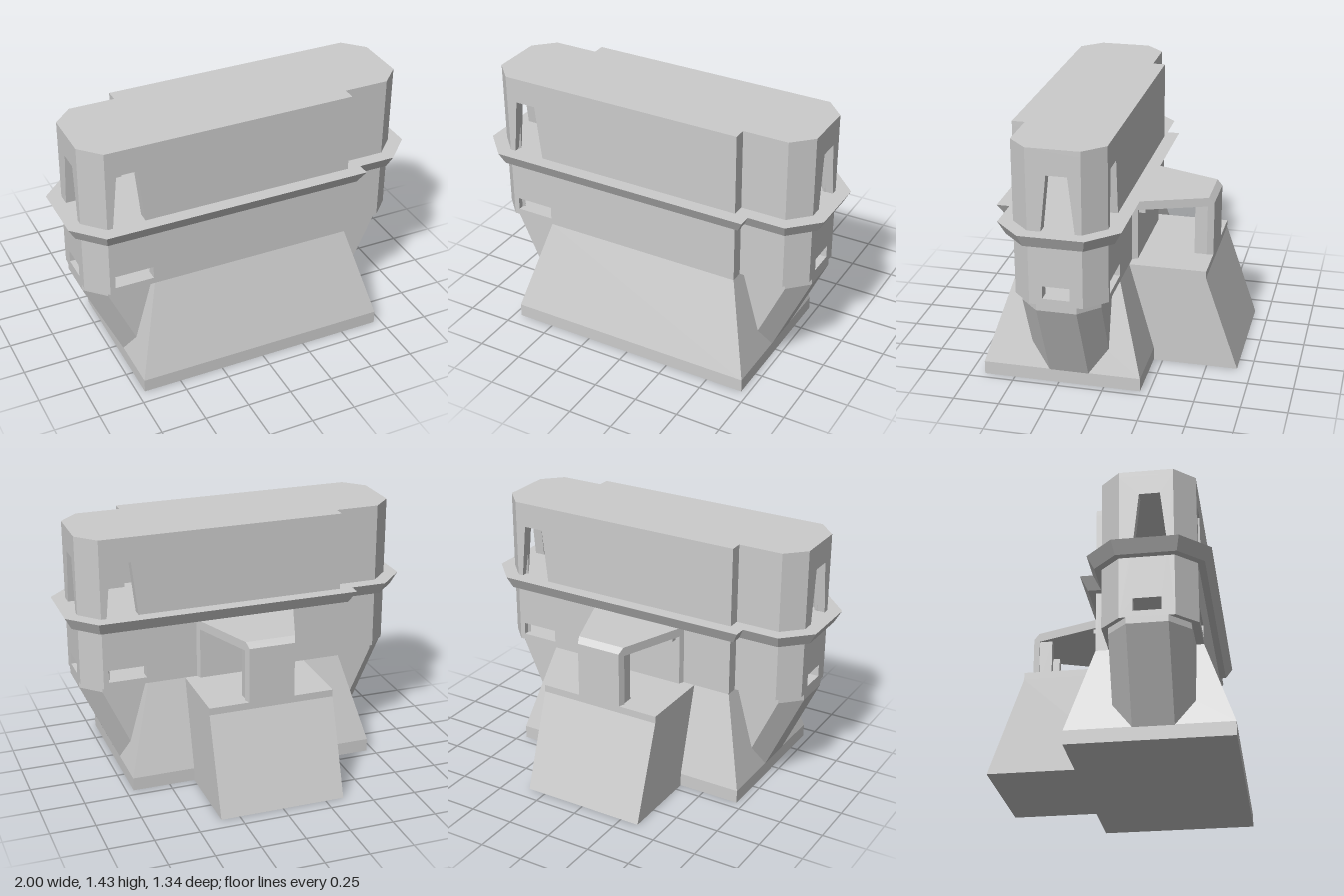
import * as THREE from 'three';

const material = new THREE.MeshStandardMaterial({ color: 0xcccccc, flatShading: true });

function add(parent, name, geometry) {
  const mesh = new THREE.Mesh(geometry, material);
  mesh.name = name;
  parent.add(mesh);
  return mesh;
}

// Closed solid through stacked plan outlines; each level is [y, [[x, z], ...]]
function loft(levels) {
  const pos = [];
  const at = (l, i) => {
    const pts = levels[l][1], p = pts[i % pts.length];
    return [p[0], levels[l][0], p[1]];
  };
  const n = levels[0][1].length;
  for (let l = 0; l + 1 < levels.length; l++) {
    for (let i = 0; i < n; i++) {
      const a = at(l, i), b = at(l, i + 1), c = at(l + 1, i + 1), d = at(l + 1, i);
      pos.push(...a, ...d, ...c, ...a, ...c, ...b);
    }
  }
  for (const [l, up] of [[0, false], [levels.length - 1, true]]) {
    const flat = levels[l][1].map(([x, z]) => new THREE.Vector2(x, z));
    for (const [i, j, k] of THREE.ShapeUtils.triangulateShape(flat, [])) {
      const p = at(l, i), q = at(l, j), r = at(l, k);
      const ny = (q[2] - p[2]) * (r[0] - p[0]) - (q[0] - p[0]) * (r[2] - p[2]);
      if (ny > 0 === up) pos.push(...p, ...q, ...r);
      else pos.push(...p, ...r, ...q);
    }
  }
  const g = new THREE.BufferGeometry();
  g.setAttribute('position', new THREE.Float32BufferAttribute(pos, 3));
  g.computeVertexNormals();
  return g;
}

const rect = (x, z0, z1) => [[x, z0], [x, z1], [-x, z1], [-x, z0]];

// Plan of the upper storeys, grown by d; the second half is the first turned 180 degrees
function outline(d) {
  const t = d * 0.414;
  const half = [
    [0.82 + t, -0.06 - d], [0.925 + d, 0.05 - t], [0.925 + d, 0.335 + t],
    [0.82 + t, 0.44 + d], [0.57 + d, 0.44 + d], [0.57 + d, 0.51 + d],
  ];
  return [...half, ...half.map(([x, z]) => [-x, 0.45 - z])];
}

const Y0 = 0.575, Y1 = 1.43, WALL = 0.06;

// Openings by wall index: tall tapered window and low slot
const endOpenings = [
  [[0.07, 0.975], [0.25, 0.975], [0.215, 1.29], [0.105, 1.29]],
  [[0.07, 0.61], [0.215, 0.61], [0.215, 0.68], [0.07, 0.68]],
];
const longOpenings = [
  [[0.03, 0.975], [0.21, 0.975], [0.175, 1.29], [0.06, 1.29]],
  [[0.03, 0.61], [0.245, 0.61], [0.245, 0.68], [0.03, 0.68]],
];

function buildWalls() {
  const walls = new THREE.Group();
  walls.name = 'walls';
  const pts = outline(0);
  pts.forEach((a, i) => {
    const b = pts[(i + 1) % pts.length];
    const dx = a[0] - b[0], dz = a[1] - b[1], len = Math.hypot(dx, dz);
    const vec = ([u, y]) => new THREE.Vector2(u, y);
    const shape = new THREE.Shape([[0, Y0], [len, Y0], [len, Y1 - 0.03], [0, Y1 - 0.03]].map(vec));
    const openings = i % 6 === 1 ? endOpenings : i % 6 === 5 ? longOpenings : [];
    for (const hole of openings) shape.holes.push(new THREE.Path(hole.map(vec)));
    const g = new THREE.ExtrudeGeometry(shape, { depth: WALL, bevelEnabled: false });
    g.translate(0, 0, -WALL);
    const wall = add(walls, openings.length ? 'windowWall' : 'plainWall', g);
    wall.position.set(b[0], 0, b[1]);
    wall.rotation.y = Math.atan2(-dz, dx);
  });
  return walls;
}

// Corbel under the right-hand end, sheared inwards as it goes down
function corbelGeometry() {
  const section = (y) => {
    const s = Math.max(0, 0.54 - y) * 0.46;
    return [y, [[0.82 - s, -0.02], [0.925 - s, 0.085], [0.925 - s, 0.3],
      [0.82 - s, 0.405], [0.4, 0.405], [0.4, -0.02]]];
  };
  return loft([section(0.07), section(0.54), section(Y0 + 0.01)]);
}

// Rear porch plan, narrowing away from the building
function taper(z0, z1) {
  const x = (z) => 0.26 + 0.37 * (z + 0.13);
  return [[x(z0), z0], [x(z1), z1], [-x(z1), z1], [-x(z0), z0]];
}

function buildPorch() {
  const porch = new THREE.Group();
  porch.name = 'rearPorch';
  add(porch, 'porchBase', loft([
    [0, rect(0.355, -0.67, 0.1)], [0.535, rect(0.355, -0.485, 0.1)], [Y0, rect(0.355, -0.485, 0.1)],
  ]));
  add(porch, 'porchRoof', loft([
    [0.865, taper(-0.485, -0.05)], [0.885, taper(-0.485, -0.05)], [0.915, taper(-0.455, -0.05)],
  ]));
  add(porch, 'porchRearWall', loft([[Y0, taper(-0.485, -0.45)], [0.87, taper(-0.485, -0.45)]]));
  add(porch, 'porchInnerWall', loft([[Y0, taper(-0.09, -0.05)], [0.87, taper(-0.09, -0.05)]]));
  for (const side of [1, -1]) {
    const jamb = add(porch, 'porchJamb', new THREE.BoxGeometry(0.04, 0.29, 0.075));
    jamb.position.set(side * 0.115, 0.72, -0.4175);
    const bracket = add(porch, 'porchBracket', new THREE.BoxGeometry(0.04, 0.03, 0.04));
    bracket.position.set(side * 0.23, 0.855, -0.105);
  }
  return porch;
}

export function createModel() {
  const model = new THREE.Group();
  model.name = 'bunkerTower';

  // Sloped plinth
  add(model, 'base', loft([
    [0, rect(0.71, -0.2, 0.67)], [0.075, rect(0.71, -0.2, 0.67)], [Y0, rect(0.57, -0.06, 0.51)],
  ]));

  // Hollow upper storeys
  model.add(buildWalls());
  add(model, 'lowerFloor', loft([[Y0, outline(0)], [Y0 + 0.02, outline(0)]]));
  add(model, 'roof', loft([[Y1 - 0.03, outline(0)], [Y1, outline(0)]]));
  add(model, 'ledge', loft([[0.915, outline(0.037)], [0.985, outline(0.075)]]));
  const partition = add(model, 'partition', new THREE.BoxGeometry(0.06, 0.43, 0.5));
  partition.position.set(0, 1.19, 0.225);

  // Corbels at both ends
  for (const turned of [false, true]) {
    const corbel = add(model, 'corbel', corbelGeometry());
    if (turned) {
      corbel.rotation.y = Math.PI;
      corbel.position.z = 0.45;
    }
  }

  model.add(buildPorch());
  return model;
}
